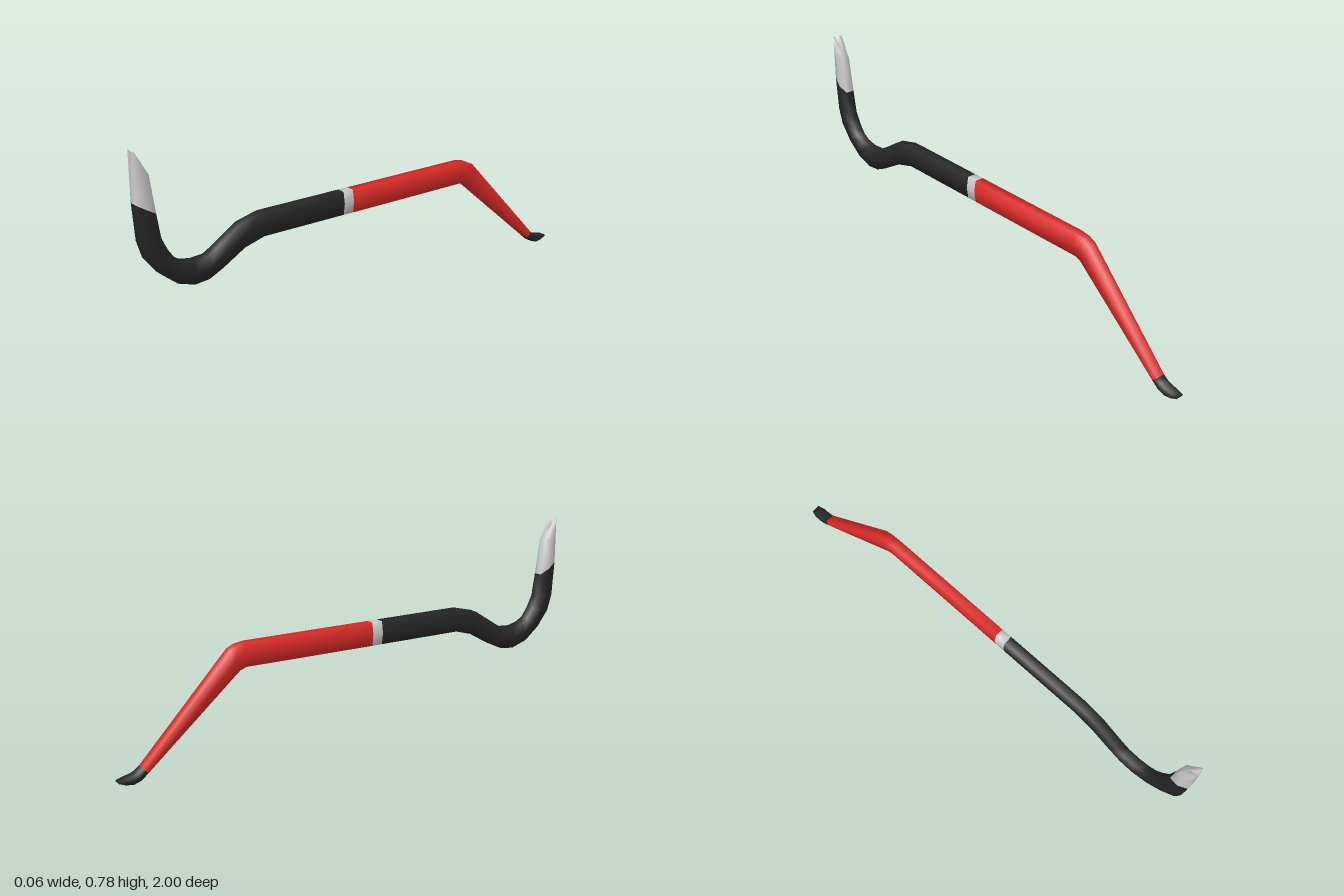
import * as THREE from 'three';
import { toCreasedNormals } from 'three/addons/utils/BufferGeometryUtils.js';

// Each station: [outer z, outer y, inner z, inner y, half width, half width of flat, notch half gap]
const W = 0.028, N = 0.0255, F = 0.018;

const claw = [
  [1, 0.78, 0.994, 0.775, 0.021, 0.019, 0.01],
  [1, 0.74, 0.973, 0.738, W, F, 0.0035],
  [1, 0.722, 0.963, 0.72, W, F, 0],
  [1, 0.70, 0.945, 0.69, W, F, 0],
  [1, 0.59, 0.925, 0.545, W, F, 0],
];
const hook = [
  [1, 0.59, 0.925, 0.545, W, F],
  [0.99, 0.45, 0.91, 0.45, W, F],
  [0.97, 0.385, 0.885, 0.4, W, F],
  [0.92, 0.32, 0.86, 0.365, W, F],
  [0.855, 0.268, 0.83, 0.346, W, F],
  [0.785, 0.246, 0.785, 0.336, W, F],
  [0.725, 0.252, 0.73, 0.34, W, F],
  [0.67, 0.278, 0.69, 0.362, W, F],
  [0.57, 0.336, 0.585, 0.43, N, F],
  [0.485, 0.36, 0.495, 0.453, N, F],
  [0.12, 0.362, 0.12, 0.455, N, F],
];
const band = [
  [0.12, 0.362, 0.12, 0.455, N, F],
  [0.075, 0.362, 0.075, 0.455, N, F],
];
const handle = [
  [0.075, 0.362, 0.075, 0.455, N, F],
  [-0.48, 0.366, -0.475, 0.458, N, F],
  [-0.505, 0.358, -0.515, 0.452, N, F],
  [-0.522, 0.344, -0.545, 0.438, N, F],
  [-0.887, 0.033, -0.908, 0.055, N, F],
];
const foot = [
  [-0.887, 0.033, -0.908, 0.055, N, F],
  [-0.915, 0.01, -0.925, 0.042, N, F],
  [-0.945, 0, -0.945, 0.033, N, F],
  [-0.975, 0.005, -0.975, 0.026, N, F],
  [-1, 0.014, -1, 0.02, 0.018, 0.016],
];

// Six-sided section of the bar
function barSection([oz, oy, iz, iy, w, f]) {
  const mz = (oz + iz) / 2, my = (oy + iy) / 2;
  return [[-f, oy, oz], [f, oy, oz], [w, my, mz], [f, iy, iz], [-f, iy, iz], [-w, my, mz]];
}

// Half section for one prong of the claw; side is +1 or -1
function prongSection([oz, oy, iz, iy, w, f, g], side) {
  const mz = (oz + iz) / 2, my = (oy + iy) / 2;
  const pts = [[g, oy, oz], [f, oy, oz], [w, my, mz], [f, iy, iz], [g, iy, iz]]
    .map(([x, y, z]) => [x * side, y, z]);
  return side > 0 ? pts : pts.reverse();
}

// Skin a list of rings, with optional end caps
function loft(rings, capStart, capEnd) {
  const n = rings[0].length, index = [], last = (rings.length - 1) * n;
  for (let k = 0; k < rings.length - 1; k++) {
    for (let j = 0; j < n; j++) {
      const a = k * n + j, b = k * n + (j + 1) % n;
      index.push(a, b + n, b, a, a + n, b + n);
    }
  }
  for (let j = 1; j < n - 1; j++) {
    if (capStart) index.push(0, j, j + 1);
    if (capEnd) index.push(last, last + j + 1, last + j);
  }
  const geo = new THREE.BufferGeometry();
  geo.setAttribute('position', new THREE.Float32BufferAttribute(rings.flat(2), 3));
  geo.setIndex(index);
  return toCreasedNormals(geo, 1.45);
}

export function createModel() {
  const model = new THREE.Group();
  model.name = 'pryBar';
  const steel = new THREE.MeshStandardMaterial({ color: 0xcccccc });
  const black = new THREE.MeshStandardMaterial({ color: 0x262626 });
  const red = new THREE.MeshStandardMaterial({ color: 0xdb2b28 });

  const add = (parent, name, geo, mat) => {
    const mesh = new THREE.Mesh(geo, mat);
    mesh.name = name;
    parent.add(mesh);
  };

  // Split claw: two mirrored prongs
  const clawGroup = new THREE.Group();
  clawGroup.name = 'claw';
  model.add(clawGroup);
  for (const side of [1, -1]) {
    const rings = claw.map((s) => prongSection(s, side));
    add(clawGroup, side > 0 ? 'leftProng' : 'rightProng', loft(rings, true, false), steel);
  }

  // Bar, from hook to chisel foot
  add(model, 'hook', loft(hook.map(barSection), false, false), black);
  add(model, 'band', loft(band.map(barSection), false, false), steel);
  add(model, 'handle', loft(handle.map(barSection), false, false), red);
  add(model, 'chiselFoot', loft(foot.map(barSection), false, true), black);

  return model;
}
